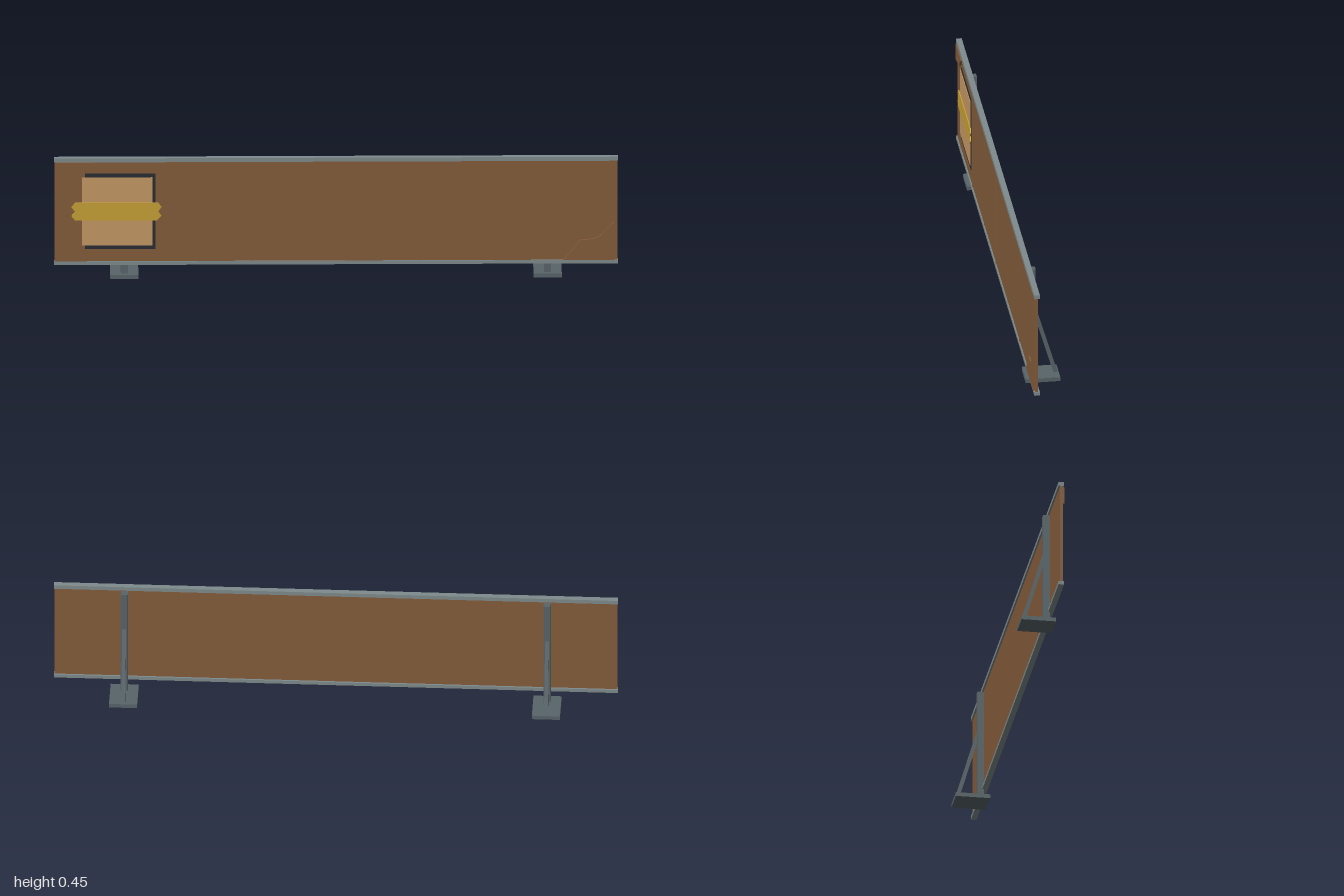
import * as THREE from 'three';

const mat = (name, color) => Object.assign(new THREE.MeshStandardMaterial({ color }), { name });

export function createModel() {
  const root = new THREE.Group();
  root.name = 'barrierBoard';
  const board = mat('brown board', 0x855d3b);
  const rail = mat('light steel', 0x7f8b8d);
  const steel = mat('dark steel', 0x59656a);
  const paper = mat('tan paper', 0xc79965);
  const frame = mat('dark backing', 0x282d32);
  const tape = mat('yellow tape', 0xc9a236);

  const add = (parent, name, geometry, material) => {
    const mesh = new THREE.Mesh(geometry, material);
    mesh.name = name;
    parent.add(mesh);
    return mesh;
  };
  // Box given by its minimum and maximum on each axis
  const box = (parent, name, material, x0, x1, y0, y1, z0, z1) => {
    const g = new THREE.BoxGeometry(x1 - x0, y1 - y0, z1 - z0);
    g.translate((x0 + x1) / 2, (y0 + y1) / 2, (z0 + z1) / 2);
    return add(parent, name, g, material);
  };
  // Flat outline in x and y, thickened from z0 to z1
  const plate = (parent, name, material, points, z0, z1) => {
    const shape = new THREE.Shape(points.map(([x, y]) => new THREE.Vector2(x, y)));
    const g = new THREE.ExtrudeGeometry(shape, { depth: z1 - z0, bevelEnabled: false });
    g.translate(0, 0, z0);
    return add(parent, name, g, material);
  };

  // Long panel with its top and bottom rails
  box(root, 'panel', board, -0.998, 0.998, 0.06, 0.442, 0.045, 0.055);
  box(root, 'topRail', rail, -1, 1, 0.437, 0.452, 0.039, 0.059);
  box(root, 'bottomRail', rail, -1, 1, 0.052, 0.065, 0.039, 0.059);

  // Narrow raised seams
  for (let i = -3; i <= 3; i++) {
    const x = i * 0.3;
    box(root, 'seam', board, x - 0.0015, x + 0.0015, 0.065, 0.437, 0.055, 0.0575);
  }

  // Torn corner layers
  plate(root, 'tornTopCorner', board,
    [[-0.99, 0.437], [-0.99, 0.374], [-0.945, 0.384], [-0.9, 0.394], [-0.885, 0.415], [-0.855, 0.437]],
    0.055, 0.062);
  plate(root, 'tornBottomCorner', board,
    [[0.805, 0.066], [0.985, 0.066], [0.985, 0.21], [0.935, 0.155], [0.915, 0.145], [0.865, 0.14], [0.835, 0.1]],
    0.055, 0.062);

  // Notice on a dark backing, held by a ragged strip of tape
  box(root, 'noticeBacking', frame, -0.89, -0.64, 0.111, 0.394, 0.055, 0.0565);
  box(root, 'notice', paper, -0.901, -0.651, 0.125, 0.38, 0.0565, 0.0585);
  plate(root, 'tape', tape,
    [[-0.925, 0.22], [-0.635, 0.22], [-0.618, 0.237], [-0.63, 0.253], [-0.618, 0.27], [-0.63, 0.286],
      [-0.925, 0.286], [-0.938, 0.27], [-0.925, 0.253], [-0.938, 0.237]],
    0.0585, 0.062);

  // Two stands: foot plate, upright and slanted brace
  for (const x of [-0.75, 0.75]) {
    const stand = new THREE.Group();
    stand.name = x > 0 ? 'leftStand' : 'rightStand';
    stand.position.x = x;
    root.add(stand);
    box(stand, 'footPlate', steel, -0.05, 0.05, 0, 0.015, -0.062, 0.062);
    box(stand, 'upright', steel, -0.0125, 0.0125, 0.015, 0.431, 0.021, 0.045);
    // Side outline drawn in (-z, y), then turned to face sideways
    const brace = plate(stand, 'brace', steel,
      [[-0.021, 0.232], [0.043, 0.015], [0.058, 0.015], [-0.021, 0.281]], -0.007, 0.007);
    brace.rotation.y = Math.PI / 2;
  }
  return root;
}
